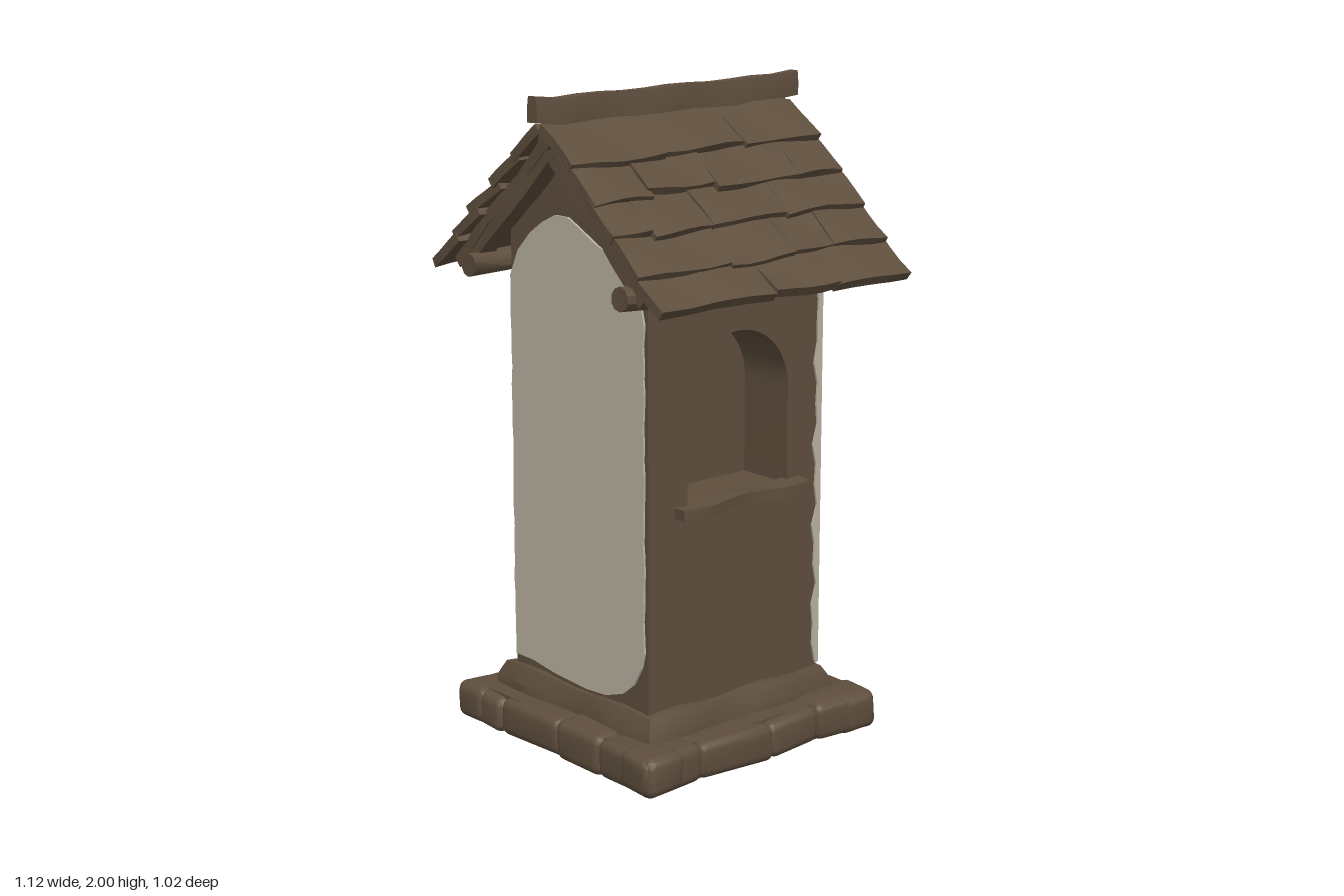
import * as THREE from 'three';
import { toCreasedNormals } from 'three/addons/utils/BufferGeometryUtils.js';
import { RoundedBoxGeometry } from 'three/addons/geometries/RoundedBoxGeometry.js';

export function createModel() {
  const model = new THREE.Group();
  const brown = new THREE.MeshStandardMaterial({ color: 0x5e4e3d });
  brown.name = 'weathered brown';
  const plaster = new THREE.MeshStandardMaterial({ color: 0xbab2a2 });
  plaster.name = 'pale plaster';

  let seed = 11;
  const rand = (a, b) => {
    seed = (seed * 16807) % 2147483647;
    return a + (b - a) * (seed / 2147483647);
  };

  // Hand-carved unevenness: a smooth displacement depending on position only
  const wobble = (g, amount, phase = 0) => {
    const p = g.attributes.position;
    for (let i = 0; i < p.count; i++) {
      const x = p.getX(i), y = p.getY(i), z = p.getZ(i);
      p.setXYZ(i,
        x + amount * Math.sin(y * 13 + z * 17 + phase),
        y + amount * Math.sin(x * 15 + z * 19 + phase * 2.3),
        z + amount * Math.sin(x * 16 + y * 14 + phase * 1.7));
    }
    return toCreasedNormals(g, 0.6);
  };
  const add = (name, g, mat = brown, parent = model) => {
    const m = new THREE.Mesh(g, mat);
    m.name = name;
    parent.add(m);
    return m;
  };
  const group = (name, parent = model) => {
    const g = new THREE.Group();
    g.name = name;
    parent.add(g);
    return g;
  };
  const shapeOf = (pts) => new THREE.Shape(pts.map(([x, y]) => new THREE.Vector2(x, y)));

  const Z0 = -0.335, Z1 = 0.345, ZC = 0.005; // body back, front and middle

  // Stone plinth: a core slab ringed by uneven stones
  const plinth = group('plinth');
  add('plinthCore', new THREE.BoxGeometry(0.84, 0.118, 0.86).translate(0, 0.06, 0.012), brown, plinth);
  const cuts = [-0.465, -0.25, 0.03, 0.22, 0.465];
  for (let side = 0; side < 4; side++) {
    for (let i = 0; i < 4; i++) {
      const len = cuts[i + 1] - cuts[i];
      const h = rand(0.112, 0.128);
      const g = new RoundedBoxGeometry(len + 0.012, h, 0.14, 3, 0.03);
      g.translate((cuts[i] + cuts[i + 1]) / 2, h / 2 + 0.004, 0.395 + rand(-0.006, 0.004));
      wobble(g, 0.004, side);
      g.rotateY(side * Math.PI / 2).translate(0, 0, 0.012);
      add('plinthStone', toCreasedNormals(g, 0.6), brown, plinth);
    }
  }

  // Second step, narrowing upwards
  const step = new THREE.BoxGeometry(0.73, 0.1, 0.75, 9, 2, 9);
  const sp = step.attributes.position;
  for (let i = 0; i < sp.count; i++) {
    const k = sp.getY(i) > 0.04 ? 0.93 : 1;
    sp.setX(i, sp.getX(i) * k);
    sp.setZ(i, sp.getZ(i) * k);
  }
  step.translate(-0.005, 0.14, 0.012);
  add('upperStep', wobble(step, 0.006, 2));

  // Tower: solid core, niche wall on the left side, gable above
  const tower = group('tower');
  add('wallCore', new THREE.BoxGeometry(0.44, 1.28, Z1 - Z0).translate(-0.1, 0.79, ZC), brown, tower);

  const nicheWall = shapeOf([[Z0, 0.15], [Z1, 0.15], [Z1, 1.43], [Z0, 1.43]]);
  const hole = new THREE.Path();
  hole.moveTo(-0.205, 0.8);
  hole.lineTo(0.195, 0.8);
  hole.lineTo(0.195, 1.1);
  hole.absellipse(-0.005, 1.1, 0.2, 0.2, 0, Math.PI, false);
  hole.lineTo(-0.205, 0.8);
  nicheWall.holes.push(hole);
  const nicheGeo = new THREE.ExtrudeGeometry(nicheWall, { depth: 0.19, bevelEnabled: false, curveSegments: 16 });
  // extrusion runs along +x after swapping the shape's x into z
  nicheGeo.rotateY(-Math.PI / 2).translate(0.31, 0, 0);
  add('nicheWall', toCreasedNormals(nicheGeo, 0.6), brown, tower);

  const gable = shapeOf([[-0.32, 1.42], [0.31, 1.42], [0.31, 1.56], [0, 1.85], [-0.32, 1.56]]);
  add('gable', new THREE.ExtrudeGeometry(gable, { depth: Z1 - Z0, bevelEnabled: false })
    .translate(0, 0, Z0), brown, tower);

  // Window sill
  const sill = new THREE.BoxGeometry(0.075, 0.032, 0.5, 2, 1, 10).translate(0.32, 0.795, 0);
  add('nicheSill', wobble(sill, 0.005, 1));

  // Plaster panels with ragged edges
  const plate = { depth: 0.008, bevelEnabled: false };
  const panelTop = [[0.3, 1.36], [0.285, 1.42], [0.25, 1.48], [0.19, 1.53], [0.09, 1.565], [0.02, 1.6],
    [-0.04, 1.628], [-0.1, 1.628], [-0.16, 1.6], [-0.22, 1.56], [-0.28, 1.5], [-0.318, 1.42]];
  const ragged = (x, y0, y1, amp) => Array.from({ length: 20 }, (_, i) => {
    const y = y0 + (y1 - y0) * i / 19;
    return [x + amp * (Math.sin(y * 23) + Math.sin(y * 51)), y];
  });
  const frontPanel = shapeOf([[-0.315, 0.22], [-0.23, 0.22], [-0.12, 0.205], [0.03, 0.197], [0.12, 0.203],
    [0.2, 0.23], [0.25, 0.27], [0.285, 0.33], ...ragged(0.296, 0.38, 1.3, 0.002), ...panelTop,
    ...ragged(-0.317, 1.36, 0.3, 0.0015)]);
  add('frontPlaster', new THREE.ExtrudeGeometry(frontPanel, plate).translate(0, 0, Z1 - 0.001), plaster);
  const backPanel = shapeOf([[-0.318, 0.2], [-0.1, 0.192], [0.1, 0.2], [0.31, 0.195],
    ...ragged(0.311, 0.25, 1.3, 0.003), [0.312, 1.38], ...panelTop.slice(1),
    ...ragged(-0.318, 1.36, 0.3, 0.001)]);
  add('backPlaster', new THREE.ExtrudeGeometry(backPanel, plate).translate(0, 0, Z0 - 0.007), plaster);
  // Plaster creeping round the back corner onto the niche side
  const strip = shapeOf([[-0.342, 0.2], ...ragged(-0.319, 0.2, 1.41, 0.006), [-0.342, 1.41]]);
  add('cornerPlaster', new THREE.ExtrudeGeometry(strip, plate)
    .rotateY(-Math.PI / 2).translate(0.316, 0, 0), plaster);

  // Roof: each slope is built flat along +x from the ridge, then tilted
  const roof = group('roof');
  const tilt = 0.745;
  const onSlope = (g, side) => {
    g.rotateZ(-tilt).translate(0, 1.89, 0);
    if (side < 0) g.rotateY(Math.PI);
    return g;
  };
  for (const side of [1, -1]) {
    const slope = group(side > 0 ? 'leftSlope' : 'rightSlope', roof);
    const deck = new THREE.BoxGeometry(0.64, 0.035, 0.9, 6, 1, 6).translate(0.315, -0.012, 0);
    add('roofDeck', toCreasedNormals(onSlope(wobble(deck, 0.004, side), side), 0.6), brown, slope);

    // Rafters below the deck at both gable ends
    for (const z of [-0.41, 0.42]) {
      const r = new THREE.BoxGeometry(0.6, 0.045, 0.06, 8, 1, 1).translate(0.3, -0.04, z * side);
      add('rafter', toCreasedNormals(onSlope(wobble(r, 0.004, z * 9), side), 0.6), brown, slope);
    }

    // Five courses of overlapping shingles
    for (let c = 0; c < 5; c++) {
      const start = c * 0.134 - 0.02;
      let z = -0.475;
      while (z < 0.48) {
        let w = rand(0.15, 0.32);
        if (0.485 - (z + w) < 0.12) w = 0.49 - z;
        const len = 0.165 + rand(-0.012, 0.012);
        const s = new THREE.BoxGeometry(len, 0.03, w + 0.004, 3, 1, 4);
        s.rotateZ(0.12 + rand(-0.02, 0.03));
        s.translate(start + len / 2 + 0.02, 0.026, z + w / 2);
        wobble(s, 0.005, rand(0, 6));
        add('shingle', toCreasedNormals(onSlope(s, side), 0.6), brown, slope);
        z += w;
      }
    }

    // Wall plate beam under the eaves
    const beam = new THREE.CylinderGeometry(0.036, 0.036, 0.94, 10, 8)
      .rotateX(Math.PI / 2).translate(0.352 * side, 1.462, 0.015);
    add('eavesBeam', wobble(beam, 0.005, side * 2), brown, roof);
  }

  // Ridge cap and the ridge beam ends poking out below it
  const cap = new THREE.BoxGeometry(0.044, 0.075, 1.02, 2, 2, 12).translate(0, 1.95, 0);
  const cp = cap.attributes.position;
  for (let i = 0; i < cp.count; i++) {
    const t = Math.abs(cp.getZ(i)) > 0.5 ? 0.01 : 0;
    cp.setY(i, cp.getY(i) + t);
    if (cp.getY(i) > 1.97) cp.setX(i, cp.getX(i) * 0.75);
  }
  add('ridgeCap', wobble(cap, 0.003, 1), brown, roof);
  const ridgeBeam = new THREE.CylinderGeometry(0.028, 0.028, 0.96, 10, 6)
    .rotateX(Math.PI / 2).translate(0, 1.865, -0.012);
  add('ridgeBeam', wobble(ridgeBeam, 0.004), brown, roof);

  return model;
}
